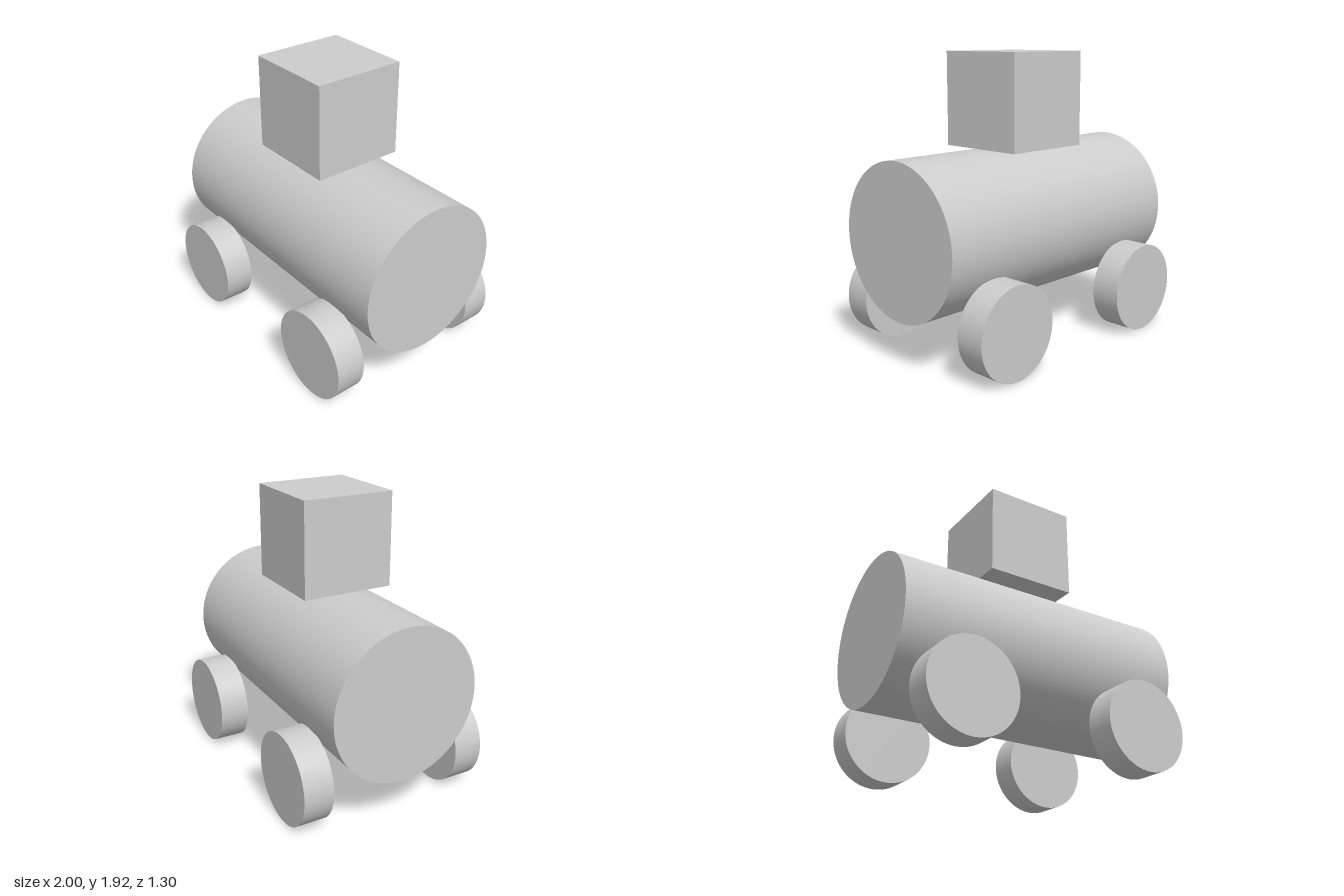
import * as THREE from 'three';

export function createModel() {
  const model = new THREE.Group();
  const grey = new THREE.MeshStandardMaterial({ color: 0xcccccc });
  grey.name = 'light grey';

  const addPart = (name, geometry, x, y, z) => {
    const mesh = new THREE.Mesh(geometry, grey);
    mesh.name = name;
    mesh.position.set(x, y, z);
    model.add(mesh);
  };

  // Barrel body lying along x
  addPart('body', new THREE.CylinderGeometry(0.5, 0.5, 2, 96).rotateZ(Math.PI / 2), 0, 0.8, 0);

  // Cube cabin resting on top of the barrel
  addPart('cabin', new THREE.BoxGeometry(0.625, 0.625, 0.625), 0, 1.6125, 0);

  // Four wheels with their axes along z
  const wheel = new THREE.CylinderGeometry(0.3, 0.3, 0.2, 64).rotateX(Math.PI / 2);
  for (const [side, x] of [['Left', 0.625], ['Right', -0.625]]) {
    for (const [end, z] of [['front', 0.55], ['back', -0.55]]) {
      addPart(`${end}${side}Wheel`, wheel, x, 0.3, z);
    }
  }

  return model;
}
